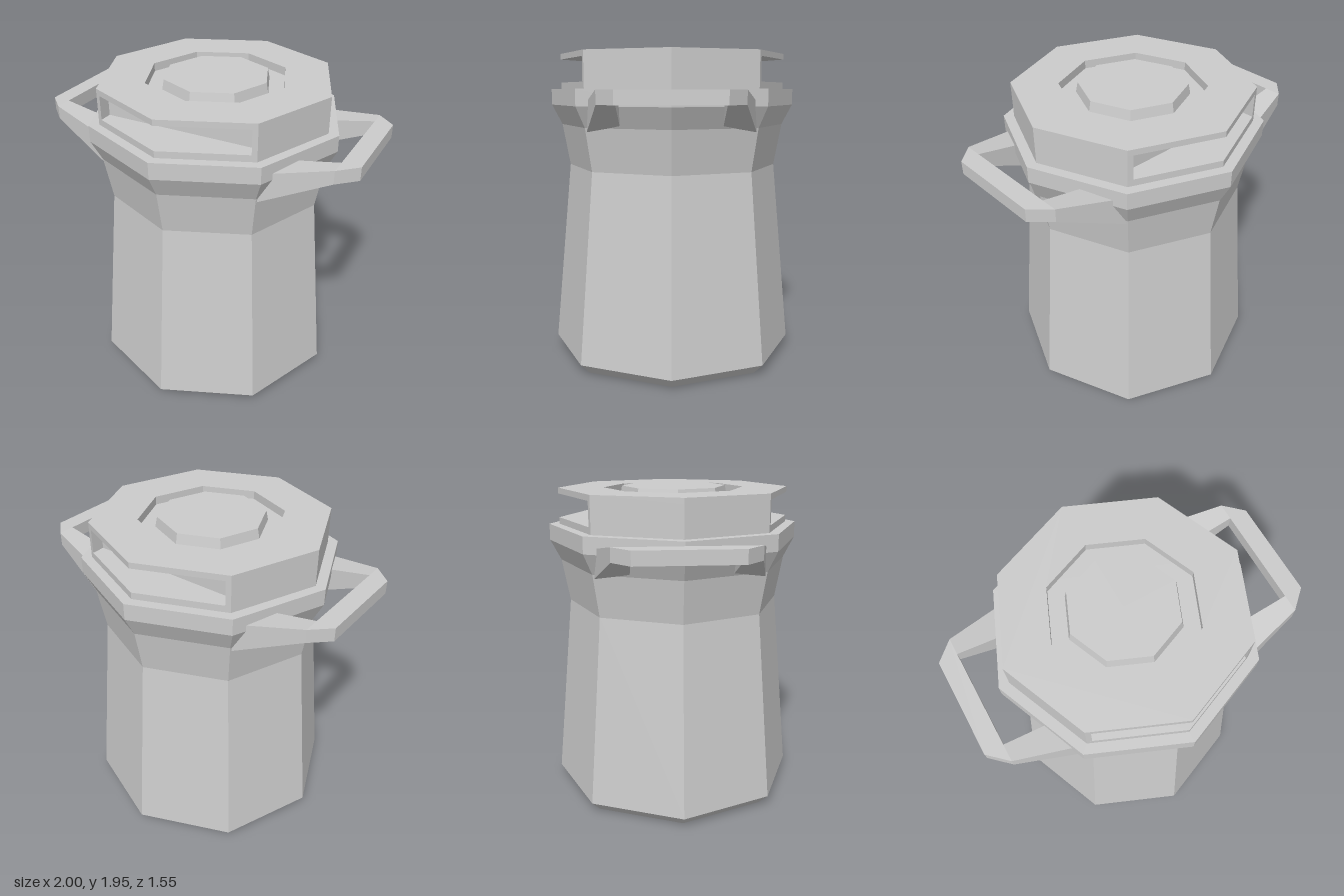
import * as THREE from 'three';

const material = new THREE.MeshStandardMaterial({ color: 0xcccccc, flatShading: true });

function addMesh(parent, name, geometry) {
  const mesh = new THREE.Mesh(geometry, material);
  mesh.name = name;
  parent.add(mesh);
  return mesh;
}

// Octagon outline with corners on the axes
function octagon(r) {
  return Array.from({ length: 8 }, (_, i) => {
    const a = (i * Math.PI) / 4;
    return new THREE.Vector2(r * Math.cos(a), r * Math.sin(a));
  });
}

// Upright slab from a plan outline, between heights y0 and y1
function slab(points, y0, y1, holePoints) {
  const shape = new THREE.Shape(points);
  if (holePoints) shape.holes.push(new THREE.Path(holePoints));
  const g = new THREE.ExtrudeGeometry(shape, { depth: y1 - y0, bevelEnabled: false });
  return g.rotateX(-Math.PI / 2).translate(0, y0, 0);
}

const vectors = (list) => list.map(([x, y]) => new THREE.Vector2(x, y));

// Tapered arm running from the grip into the body, side = +1 or -1 in z
function arm(side) {
  const g = new THREE.BoxGeometry(1, 1, 1);
  const p = g.attributes.position;
  for (let i = 0; i < p.count; i++) {
    const atGrip = p.getX(i) > 0;
    const top = p.getY(i) > 0;
    const outer = p.getZ(i) * side > 0;
    const y = atGrip ? (top ? 1.71 : 1.63) : (top ? 1.637 : 1.465);
    const z = outer ? (atGrip ? 0.395 : 0.492) : 0.293;
    p.setXYZ(i, atGrip ? 0.89 : 0.5, y, z * side);
  }
  g.computeVertexNormals();
  return g;
}

function createHandle(name) {
  const handle = new THREE.Group();
  handle.name = name;
  const grip = vectors([
    [0.89, -0.395], [1, -0.293], [1, 0.293], [0.89, 0.395],
  ]);
  addMesh(handle, 'grip', slab(grip, 1.63, 1.71));
  addMesh(handle, 'frontArm', arm(1));
  addMesh(handle, 'backArm', arm(-1));
  return handle;
}

export function createModel() {
  const model = new THREE.Group();
  model.name = 'canister';

  // Eight-sided body with a waisted neck and flared rim
  const profile = vectors([
    [0, 0], [0.71, 0], [0.775, 0.065], [0.663, 1.23],
    [0.71, 1.49], [0.775, 1.615], [0.775, 1.715], [0, 1.715],
  ]);
  addMesh(model, 'body', new THREE.LatheGeometry(profile, 8));

  // Lid in layers: base, slotted middle, top ring around a groove
  const lid = new THREE.Group();
  lid.name = 'lid';
  model.add(lid);
  const R = 0.712, c = R * Math.SQRT1_2;
  const slotX = 0.475, slotEdge = 0.515, slotBack = 0.435;
  const core = vectors([
    [R, 0], [c, c], [slotX, slotEdge], [slotX, slotBack],
    [-slotX, slotBack], [-slotX, slotEdge], [-c, c],
    [-R, 0], [-c, -c], [-slotX, -slotEdge], [-slotX, -slotBack],
    [slotX, -slotBack], [slotX, -slotEdge], [c, -c],
  ]);
  const groove = octagon(0.432);
  addMesh(lid, 'lidBase', slab(octagon(R), 1.715, 1.755));
  addMesh(lid, 'lidCore', slab(core, 1.755, 1.885));
  addMesh(lid, 'lidCoreRing', slab(core, 1.885, 1.9, groove));
  addMesh(lid, 'lidTopRing', slab(octagon(R), 1.9, 1.935, groove));

  // Raised centre button
  const button = new THREE.CylinderGeometry(0.32, 0.332, 0.06, 8);
  addMesh(lid, 'button', button.translate(0, 1.915, 0));

  // Handles on both sides
  model.add(createHandle('leftHandle'));
  const right = createHandle('rightHandle');
  right.rotation.y = Math.PI;
  model.add(right);

  return model;
}
